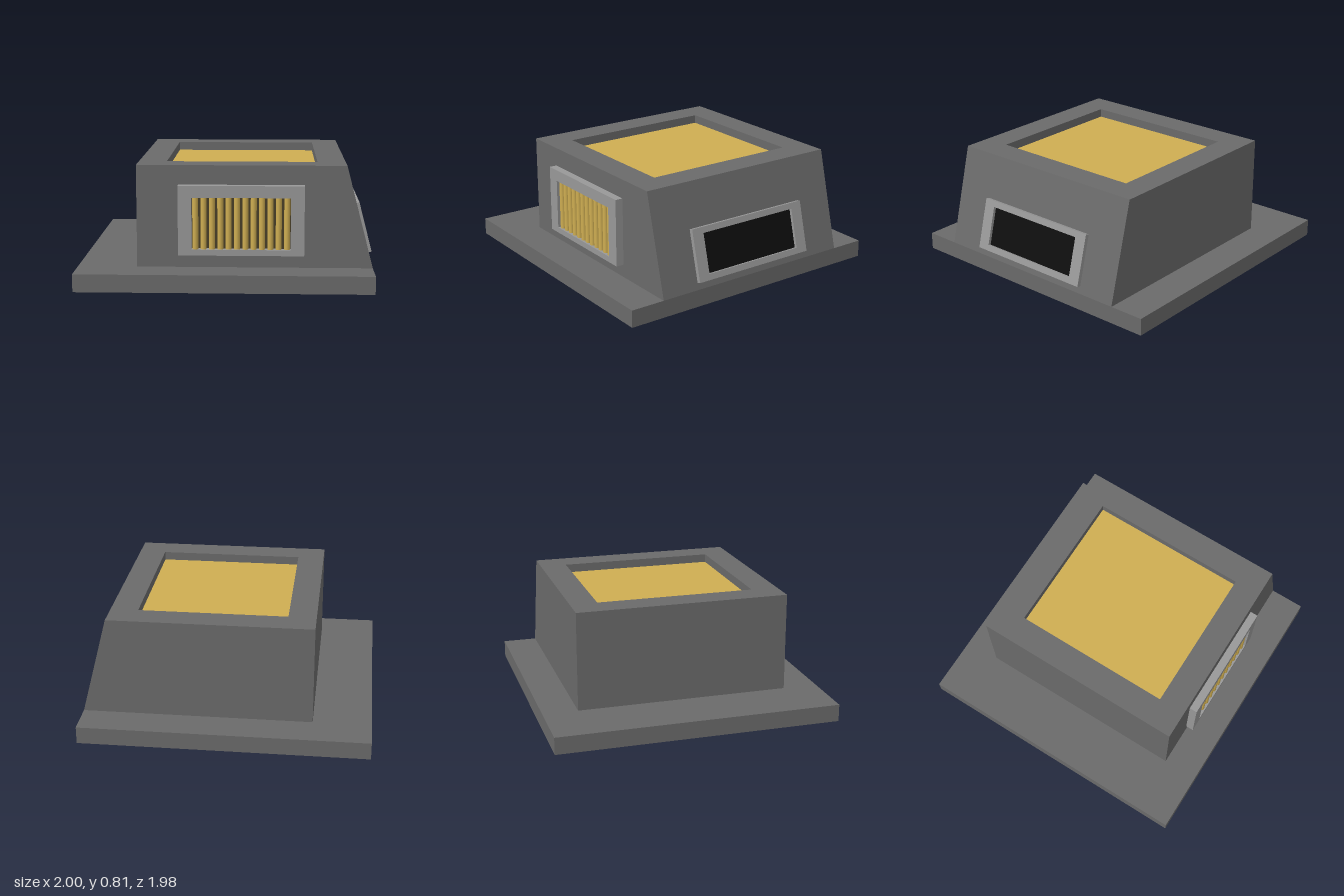
import * as THREE from 'three';

const mat = (color, extra = {}) => new THREE.MeshStandardMaterial({ color, ...extra });
const bodyMat = mat(0x6a6a6a);
const frameMat = mat(0x989898);
const goldMat = mat(0xcfae52);
const blackMat = mat(0x0e0e0e);
const gapMat = mat(0x4a4028);

function add(parent, name, geometry, material, x = 0, y = 0, z = 0) {
  const mesh = new THREE.Mesh(geometry, material);
  mesh.name = name;
  mesh.position.set(x, y, z);
  parent.add(mesh);
  return mesh;
}

// Rectangle as a path, centred on (cx, cy)
function rect(PathType, w, h, cx = 0, cy = 0) {
  const p = new PathType();
  p.moveTo(cx - w / 2, cy - h / 2);
  p.lineTo(cx + w / 2, cy - h / 2);
  p.lineTo(cx + w / 2, cy + h / 2);
  p.lineTo(cx - w / 2, cy + h / 2);
  p.closePath();
  return p;
}

// Rectangular frame with an opening, standing out along +z
function frameGeometry(w, h, depth, holeW, holeH, holeX = 0, holeY = 0) {
  const shape = rect(THREE.Shape, w, h);
  shape.holes.push(rect(THREE.Path, holeW, holeH, holeX, holeY));
  return new THREE.ExtrudeGeometry(shape, { depth, bevelEnabled: false });
}

// Skin through rectangular rings given as [x0, x1, halfZ, y]
function ringSkin(rings) {
  const corners = rings.map(([x0, x1, z, y]) => [[x0, y, z], [x1, y, z], [x1, y, -z], [x0, y, -z]]);
  const pos = [];
  for (let r = 0; r < corners.length - 1; r++) {
    for (let i = 0; i < 4; i++) {
      const j = (i + 1) % 4;
      const a = corners[r][i], b = corners[r][j], c = corners[r + 1][j], d = corners[r + 1][i];
      pos.push(...a, ...b, ...c, ...a, ...c, ...d);
    }
  }
  const g = new THREE.BufferGeometry();
  g.setAttribute('position', new THREE.Float32BufferAttribute(pos, 3));
  g.computeVertexNormals();
  return g;
}

export function createModel() {
  const model = new THREE.Group();
  model.name = 'ventedHousing';

  // Base slab
  add(model, 'base', new THREE.BoxGeometry(1.98, 0.12, 1.98), bodyMat, -0.01, 0.06, 0);

  // Housing: outer walls with one sloped side, top rim, walls of the recess
  const floorY = 0.75;
  add(model, 'housing', ringSkin([
    [-0.6, 0.98, 0.745, 0.12],
    [-0.6, 0.8, 0.745, 0.81],
    [-0.41, 0.61, 0.555, 0.81],
    [-0.41, 0.61, 0.555, floorY],
  ]), bodyMat);

  // Panel at the bottom of the recess
  const panel = add(model, 'topPanel', new THREE.PlaneGeometry(1.02, 1.11), goldMat, 0.1, floorY, 0);
  panel.rotation.x = -Math.PI / 2;

  // Front grille: frame, dark backing and a row of upright bars
  const grille = new THREE.Group();
  grille.name = 'frontGrille';
  grille.position.set(0.1, 0.445, 0.745);
  model.add(grille);
  add(grille, 'grilleFrame', frameGeometry(0.84, 0.47, 0.055, 0.66, 0.35, 0, -0.02), frameMat);
  add(grille, 'grilleBacking', new THREE.PlaneGeometry(0.66, 0.35), gapMat, 0, -0.02, 0.004);
  const bar = new THREE.CylinderGeometry(0.02, 0.02, 0.35, 12);
  for (let i = 0; i < 12; i++) {
    add(grille, 'grilleBar', bar, goldMat, (i - 5.5) * 0.0555, -0.02, 0.026);
  }

  // Side window lying on the sloped wall
  const sideWindow = new THREE.Group();
  sideWindow.name = 'sideWindow';
  sideWindow.position.set(0.923, 0.34, 0);
  sideWindow.rotation.set(-Math.atan2(0.18, 0.69), Math.PI / 2, 0, 'YXZ');
  model.add(sideWindow);
  add(sideWindow, 'windowFrame', frameGeometry(0.93, 0.357, 0.028, 0.76, 0.274), frameMat);
  add(sideWindow, 'windowPane', new THREE.PlaneGeometry(0.76, 0.274), blackMat, 0, 0, 0.008);

  return model;
}
